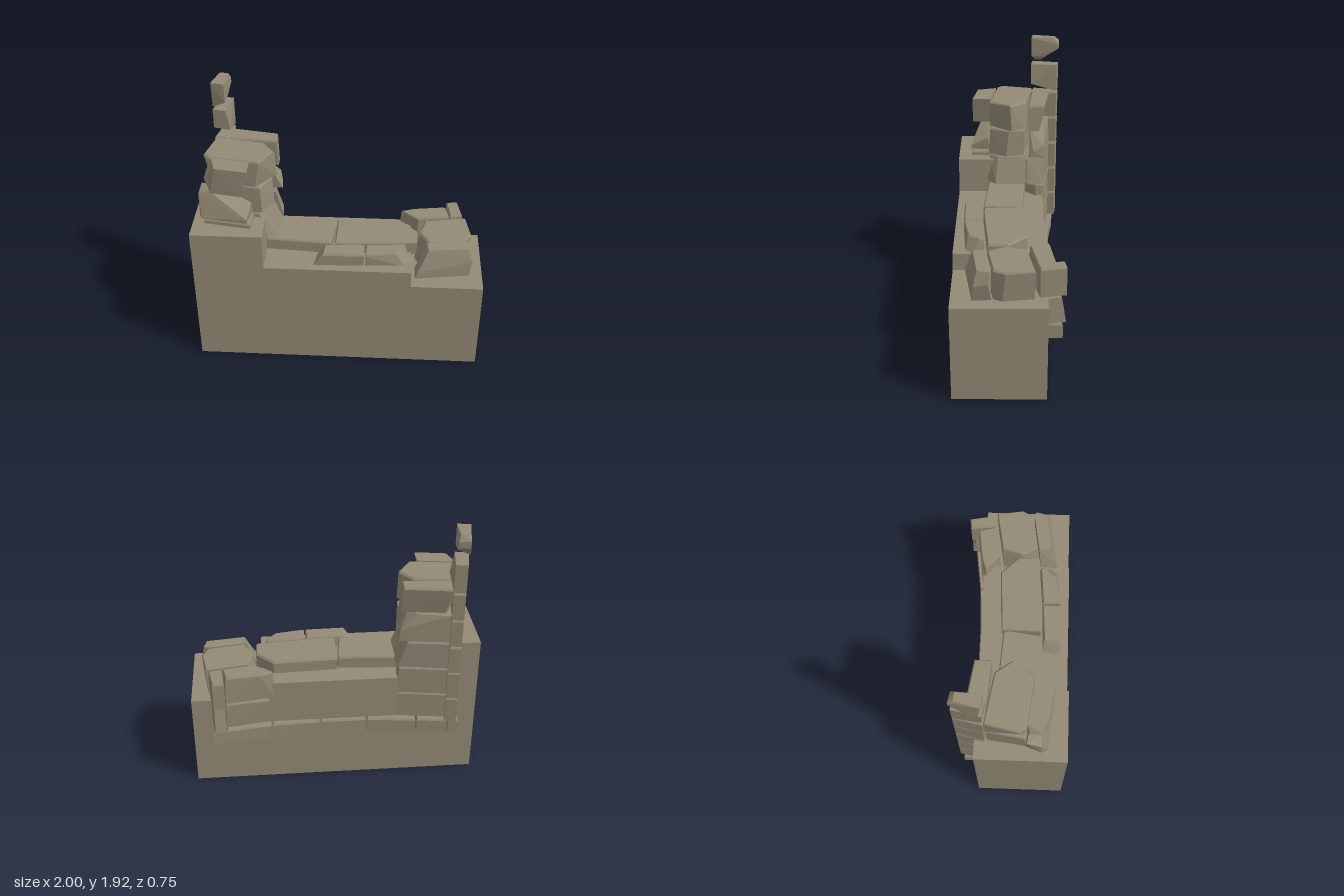
import * as THREE from 'three';
import { ConvexGeometry } from 'three/addons/geometries/ConvexGeometry.js';

export function createModel() {
  const model = new THREE.Group();
  const stoneMat = new THREE.MeshStandardMaterial({ color: 0x938a76 });
  stoneMat.name = 'weathered stone';

  const add = (name, geometry) => {
    const mesh = new THREE.Mesh(geometry, stoneMat);
    mesh.name = name;
    model.add(mesh);
    return mesh;
  };
  // Hull of [x, y, z] points
  const hull = (name, pts) => add(name, new ConvexGeometry(pts.map((p) => new THREE.Vector3(...p))));
  // Cut stone between two plan outlines of [x, z], with a narrow chamfer on the top edge
  const stone = (name, y0, y1, top, bottom = top) => {
    const cx = top.reduce((s, p) => s + p[0], 0) / top.length;
    const cz = top.reduce((s, p) => s + p[1], 0) / top.length;
    const inset = (v, c) => v - Math.sign(v - c) * 0.008;
    hull(name, [
      ...bottom.map(([x, z]) => [x, y0, z]),
      ...top.map(([x, z]) => [x, y1 - 0.012, z]),
      ...top.map(([x, z]) => [inset(x, cx), y1, inset(z, cz)]),
    ]);
  };

  // Stepped block underneath
  const steps = new THREE.Shape([
    [-1, 0], [1, 0], [1, 0.685], [0.503, 0.685], [0.503, 0.805],
    [-0.51, 0.805], [-0.51, 1.065], [-1, 1.065],
  ].map((p) => new THREE.Vector2(...p)));
  const block = new THREE.ExtrudeGeometry(steps, { depth: 0.625, bevelEnabled: false });
  add('steppedBase', block.translate(0, 0, -0.25));

  // Curved string course along the back
  const course = [[-0.87, -0.345], [-0.79, -0.34], [-0.57, -0.31], [-0.22, -0.277],
    [0.11, -0.275], [0.45, -0.293], [0.77, -0.335], [0.86, -0.35]];
  for (let i = 0; i < course.length - 1; i++) {
    const [x0, z0] = course[i];
    const [x1, z1] = course[i + 1];
    stone('backCourseStone', 0.38, 0.485,
      [[x0 + 0.004, z0], [x1 - 0.004, z1], [x1 - 0.004, -0.235], [x0 + 0.004, -0.235]]);
  }

  // Narrow corner column on the right side, one stone per tier
  const column = [[-0.84, -0.37], [-0.76, -0.355], [-0.79, -0.165], [-0.88, -0.18]];
  for (const [y0, y1] of [[0.49, 0.685], [0.69, 0.895], [0.9, 1.1], [1.11, 1.31], [1.315, 1.51]]) {
    stone('columnStone', y0, y1, column);
  }
  hull('upperColumnStone', [
    ...column.map(([x, z]) => [x, 1.72, z]),
    [-0.84, 1.52, -0.37], [-0.76, 1.52, -0.355], [-0.765, 1.575, -0.165], [-0.88, 1.58, -0.18],
  ]);
  hull('columnTip', [
    [-0.88, 1.92, -0.18], [-0.79, 1.92, -0.165], [-0.84, 1.92, -0.34], [-0.785, 1.92, -0.33],
    [-0.845, 1.89, -0.375], [-0.77, 1.88, -0.36], [-0.845, 1.84, -0.375], [-0.77, 1.84, -0.36],
    [-0.88, 1.73, -0.2], [-0.88, 1.73, -0.24], [-0.79, 1.78, -0.17], [-0.785, 1.78, -0.26],
  ]);

  // Backing stones beside the column
  const backing = [[-0.77, -0.305], [-0.44, -0.255], [-0.43, -0.2], [-0.5, -0.125], [-0.79, -0.17]];
  for (const [y0, y1] of [[0.49, 0.685], [0.69, 0.895]]) stone('backingStone', y0, y1, backing);
  stone('backingStone', 0.9, 1.1,
    [[-0.77, -0.305], [-0.49, -0.26], [-0.47, -0.14], [-0.79, -0.17]],
    [[-0.77, -0.305], [-0.43, -0.25], [-0.42, -0.14], [-0.79, -0.17]]);
  hull('backingStone', [
    [-0.77, 1.11, -0.305], [-0.43, 1.11, -0.26], [-0.42, 1.12, -0.15], [-0.79, 1.11, -0.17],
    [-0.42, 1.17, -0.18], [-0.44, 1.2, -0.26], [-0.77, 1.31, -0.3], [-0.55, 1.31, -0.25],
    [-0.51, 1.31, -0.15], [-0.79, 1.31, -0.17],
  ]);
  stone('backingStone', 1.315, 1.51,
    [[-0.77, -0.3], [-0.45, -0.25], [-0.45, -0.14], [-0.79, -0.17]],
    [[-0.74, -0.26], [-0.44, -0.22], [-0.44, -0.14], [-0.79, -0.17]]);

  // Tall pier: bottom tier
  stone('pierStone', 0.9, 1.1,
    [[-0.87, -0.16], [-0.5, -0.12], [-0.5, 0.08], [-0.55, 0.14], [-0.89, 0.09]],
    [[-0.87, -0.16], [-0.43, -0.12], [-0.43, 0.1], [-0.5, 0.16], [-0.89, 0.09]]);
  stone('pierFrontStone', 1.0, 1.1, [[-0.88, 0.1], [-0.59, 0.14], [-0.6, 0.28], [-0.92, 0.23]]);
  // Tall pier: middle tier
  stone('pierStone', 1.11, 1.31,
    [[-0.87, -0.165], [-0.49, -0.11], [-0.47, 0.0], [-0.54, 0.14], [-0.91, 0.09]],
    [[-0.87, -0.165], [-0.49, -0.11], [-0.46, 0.02], [-0.53, 0.15], [-0.91, 0.09]]);
  hull('pierFrontStone', [
    [-0.95, 1.11, 0.2], [-0.93, 1.11, 0.24], [-0.62, 1.11, 0.285], [-0.6, 1.11, 0.14],
    [-0.91, 1.11, 0.09], [-0.62, 1.14, 0.285], [-0.6, 1.2, 0.16], [-0.95, 1.28, 0.19],
    [-0.94, 1.31, 0.1], [-0.88, 1.31, 0.19], [-0.82, 1.31, 0.12],
  ]);
  // Tall pier: top tier
  stone('pierStone', 1.315, 1.51,
    [[-0.87, -0.175], [-0.53, -0.12], [-0.45, -0.01], [-0.54, 0.14], [-0.89, 0.09], [-0.92, 0.05]],
    [[-0.87, -0.175], [-0.5, -0.12], [-0.44, -0.02], [-0.57, 0.14], [-0.87, 0.09], [-0.88, 0.05]]);
  hull('pierFrontStone', [
    [-0.86, 1.51, 0.1], [-0.6, 1.51, 0.14], [-0.6, 1.51, 0.27], [-0.82, 1.51, 0.235],
    [-0.9, 1.42, 0.12], [-0.9, 1.41, 0.2], [-0.86, 1.315, 0.23], [-0.87, 1.315, 0.1],
    [-0.65, 1.315, 0.27], [-0.65, 1.315, 0.13],
  ]);

  // Low parapet in the middle: two large slabs with two facing stones in front
  stone('parapetSlab', 0.79, 0.895, [[-0.5, -0.12], [-0.035, -0.09], [-0.03, -0.06], [-0.06, 0.18], [-0.51, 0.15]]);
  stone('parapetSlab', 0.79, 0.895,
    [[-0.025, -0.105], [0.42, -0.125], [0.54, 0.0], [0.54, 0.14], [0.02, 0.18], [-0.03, 0.175]]);
  stone('facingStone', 0.79, 0.895,
    [[-0.1, 0.2], [0.175, 0.185], [0.175, 0.31], [-0.11, 0.315]],
    [[-0.16, 0.195], [0.175, 0.185], [0.175, 0.31], [-0.18, 0.32]]);
  stone('facingStone', 0.79, 0.895,
    [[0.185, 0.185], [0.46, 0.165], [0.46, 0.19], [0.4, 0.275], [0.185, 0.31]],
    [[0.185, 0.185], [0.47, 0.16], [0.495, 0.24], [0.46, 0.29], [0.185, 0.31]]);

  // Low pier on the left side
  stone('lowPierStone', 0.685, 0.895,
    [[0.6, -0.12], [0.89, -0.17], [0.92, 0.02], [0.88, 0.1], [0.62, 0.14], [0.56, 0.03]],
    [[0.55, -0.11], [0.88, -0.165], [0.91, 0.04], [0.88, 0.1], [0.58, 0.15], [0.53, 0.05]]);
  hull('lowPierFrontStone', [
    [0.61, 0.895, 0.15], [0.87, 0.895, 0.11], [0.91, 0.895, 0.12], [0.89, 0.895, 0.2], [0.62, 0.895, 0.235],
    [0.925, 0.81, 0.13], [0.925, 0.8, 0.225], [0.53, 0.69, 0.17], [0.53, 0.69, 0.29],
    [0.9, 0.69, 0.11], [0.905, 0.69, 0.235], [0.55, 0.74, 0.285],
  ]);
  stone('lowPierBackStone', 0.69, 0.895,
    [[0.43, -0.24], [0.52, -0.27], [0.75, -0.3], [0.775, -0.18], [0.55, -0.14]],
    [[0.42, -0.25], [0.76, -0.305], [0.78, -0.175], [0.55, -0.13], [0.42, -0.22]]);
  stone('lowPierBackStone', 0.49, 0.685,
    [[0.46, -0.27], [0.76, -0.305], [0.78, -0.18], [0.46, -0.14]],
    [[0.42, -0.25], [0.76, -0.305], [0.78, -0.18], [0.42, -0.14]]);
  // Corner stones of the low pier
  const corner = [[0.76, -0.36], [0.84, -0.37], [0.87, -0.2], [0.78, -0.18]];
  stone('lowCornerStone', 0.69, 0.895, corner);
  stone('lowCornerStone', 0.49, 0.685,
    [[0.77, -0.33], [0.84, -0.34], [0.87, -0.2], [0.78, -0.18]], corner);

  return model;
}
